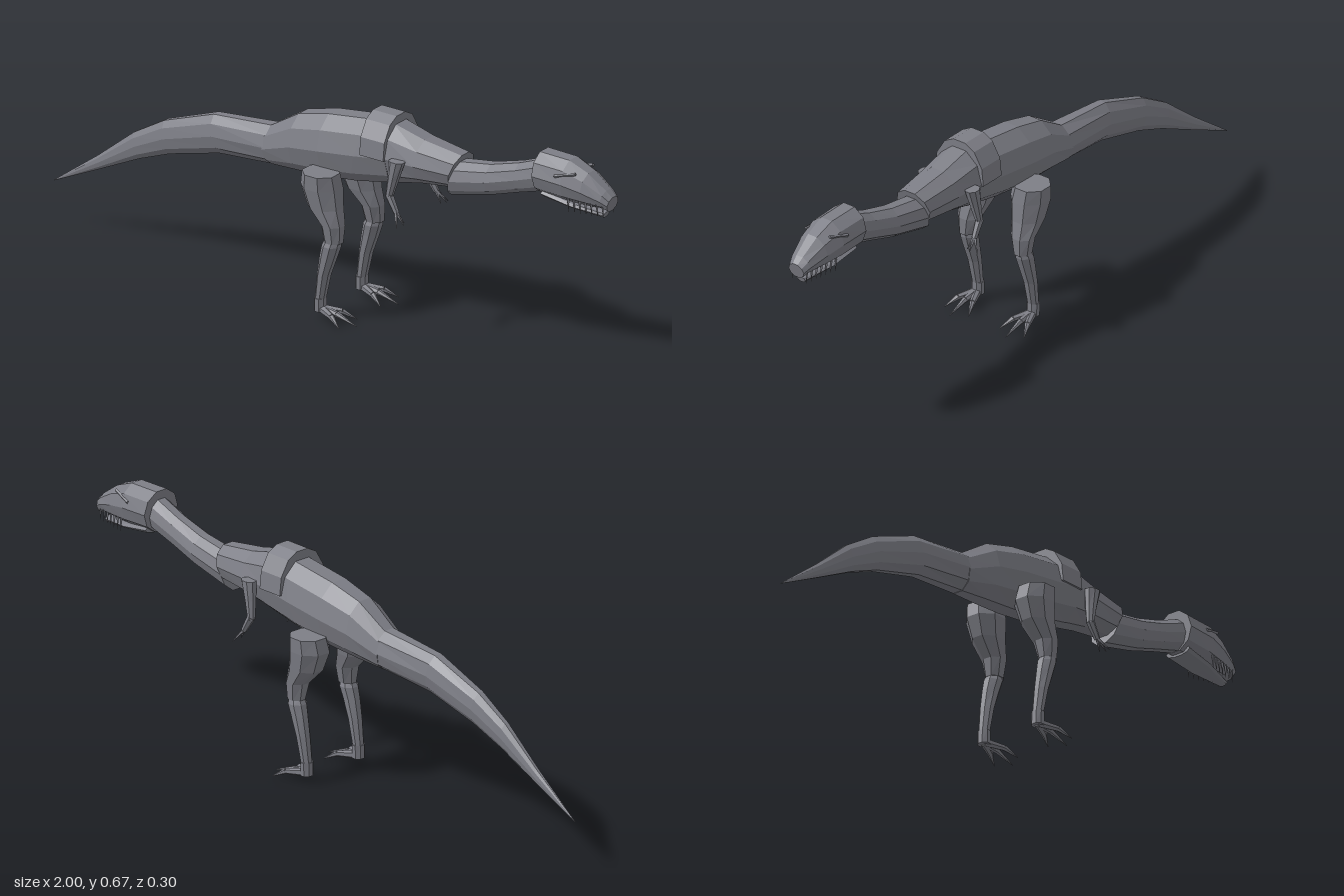
import * as THREE from 'three';

const hide = new THREE.MeshStandardMaterial({ color: 0x7d7e86, flatShading: true });
hide.name = 'grey hide';

const V = (x, y, z) => new THREE.Vector3(x, y, z);

function add(parent, name, geometry) {
  const mesh = new THREE.Mesh(geometry, hide);
  mesh.name = name;
  parent.add(mesh);
  return mesh;
}

// Skin a list of equal-length rings, closing both ends.
// Rings run counterclockwise as seen from the far end.
function loft(rings) {
  const pos = [];
  const tri = (a, b, c) => [a, b, c].forEach(p => pos.push(p.x, p.y, p.z));
  const n = rings[0].length;
  for (let i = 0; i < rings.length - 1; i++) {
    const A = rings[i], B = rings[i + 1];
    for (let j = 0; j < n; j++) {
      const k = (j + 1) % n;
      tri(A[j], A[k], B[k]);
      tri(A[j], B[k], B[j]);
    }
  }
  const first = rings[0], last = rings[rings.length - 1];
  for (let j = 1; j < n - 1; j++) {
    tri(first[0], first[j + 1], first[j]);
    tri(last[0], last[j], last[j + 1]);
  }
  const g = new THREE.BufferGeometry();
  g.setAttribute('position', new THREE.Float32BufferAttribute(pos, 3));
  g.computeVertexNormals();
  return g;
}

// Ten-sided section across x, flat on top and bottom: [xTop, yTop, xBottom, yBottom, halfWidth]
function spineLoft(sections) {
  return loft(sections.map(([xt, yt, xb, yb, w]) =>
    Array.from({ length: 10 }, (_, j) => {
      const a = (j * Math.PI) / 5;
      const t = (Math.sin(a) / Math.sin(0.4 * Math.PI) + 1) / 2;
      return V(xb + (xt - xb) * t, yb + (yt - yb) * t, -Math.cos(a) * w);
    })));
}

// Eight-sided limb going up: [x, y, z, radiusX, radiusZ]
function limbLoft(sections, side) {
  return loft(sections.map(([x, y, z, rx, rz]) =>
    Array.from({ length: 8 }, (_, j) => {
      const a = ((j + 0.5) * Math.PI) / 4;
      return V(x + Math.cos(a) * rx * 1.06, y, side * z - Math.sin(a) * rz * 1.06);
    })));
}

// Tapered rod between two points
function rod(a, b, ra, rb, sides = 6) {
  const d = b.clone().sub(a);
  const g = new THREE.CylinderGeometry(rb, ra, d.length(), sides);
  g.applyQuaternion(new THREE.Quaternion().setFromUnitVectors(V(0, 1, 0), d.normalize()));
  const m = a.clone().add(b).multiplyScalar(0.5);
  return g.translate(m.x, m.y, m.z);
}

export function createModel() {
  const model = new THREE.Group();
  model.name = 'dinosaur';

  // Tail and trunk
  add(model, 'tail', spineLoft([
    [-1, 0.142, -1, 0.14, 0.001],
    [-0.84, 0.26, -0.83, 0.22, 0.013],
    [-0.71, 0.365, -0.69, 0.287, 0.022],
    [-0.6, 0.43, -0.58, 0.33, 0.03],
    [-0.42, 0.495, -0.4, 0.378, 0.041],
    [-0.2, 0.515, -0.2, 0.395, 0.056],
  ]));
  add(model, 'trunk', spineLoft([
    [-0.23, 0.503, -0.21, 0.393, 0.055],
    [-0.11, 0.577, -0.11, 0.4, 0.075],
    [0, 0.605, 0, 0.408, 0.085],
    [0.16, 0.627, 0.1, 0.42, 0.085],
    [0.24, 0.632, 0.24, 0.448, 0.083],
  ]));
  add(model, 'chest', spineLoft([
    [0.23, 0.633, 0.23, 0.447, 0.083],
    [0.34, 0.605, 0.33, 0.468, 0.074],
    [0.47, 0.587, 0.435, 0.48, 0.061],
  ]));

  // Raised band over the shoulders
  const half = [[0.089, 0.535], [0.083, 0.59], [0.055, 0.637], [0.022, 0.655]];
  const arc = [...half.map(([z, y]) => [-z, y]), ...half.slice().reverse()];
  add(model, 'shoulderBand', loft([0.155, 0.24].map(x =>
    arc.map(([z, y]) => V(x, y, z)))));

  add(model, 'neck', spineLoft([
    [0.46, 0.565, 0.43, 0.455, 0.053],
    [0.57, 0.583, 0.57, 0.488, 0.048],
    [0.67, 0.612, 0.67, 0.52, 0.043],
    [0.78, 0.655, 0.77, 0.55, 0.045],
  ]));

  // Head
  add(model, 'skull', spineLoft([
    [0.75, 0.67, 0.755, 0.545, 0.066],
    [0.855, 0.668, 0.85, 0.54, 0.064],
    [0.92, 0.642, 0.91, 0.541, 0.053],
    [0.98, 0.6, 0.97, 0.543, 0.037],
    [1, 0.582, 0.99, 0.536, 0.028],
  ]));
  add(model, 'lowerJaw', spineLoft([
    [0.77, 0.565, 0.77, 0.537, 0.045],
    [0.87, 0.545, 0.87, 0.524, 0.04],
    [0.975, 0.53, 0.97, 0.512, 0.015],
  ]));

  for (const s of [1, -1]) {
    const sideName = s > 0 ? 'left' : 'right';

    // Brow ridge and teeth
    add(model, sideName + 'Brow',
      rod(V(0.83, 0.625, s * 0.059), V(0.895, 0.642, s * 0.044), 0.005, 0.005, 4));
    for (let i = 0; i < 7; i++) {
      const x = 0.87 + i * 0.018, z = s * (0.047 - i * 0.0035);
      add(model, sideName + 'Tooth',
        rod(V(x, 0.56, z), V(x + 0.003, 0.52, z), 0.005, 0.0005, 4));
    }

    // Hind leg
    const leg = new THREE.Group();
    leg.name = sideName + 'Leg';
    model.add(leg);
    add(leg, 'thigh', limbLoft([
      [0.072, 0.247, 0.101, 0.028, 0.025],
      [0.068, 0.3, 0.098, 0.034, 0.035],
      [0.038, 0.35, 0.094, 0.053, 0.046],
      [0.024, 0.41, 0.092, 0.061, 0.056],
      [0.025, 0.455, 0.098, 0.054, 0.052],
    ], s));
    add(leg, 'shin', limbLoft([
      [0.024, 0.045, 0.102, 0.015, 0.016],
      [0.04, 0.14, 0.103, 0.02, 0.021],
      [0.056, 0.2, 0.103, 0.026, 0.024],
      [0.066, 0.235, 0.102, 0.028, 0.027],
      [0.07, 0.25, 0.102, 0.024, 0.022],
    ], s));
    add(leg, 'ankle', limbLoft([
      [0.026, 0.022, 0.102, 0.018, 0.019],
      [0.026, 0.063, 0.102, 0.017, 0.02],
    ], s));
    for (const [x, z] of [[0.125, 0.147], [0.155, 0.103], [0.125, 0.057]]) {
      const knuckle = V(0.085, 0.024, s * (0.102 + (z - 0.102) * 0.6));
      add(leg, 'toe', rod(V(0.025, 0.03, s * 0.102), knuckle, 0.013, 0.009));
      add(leg, 'toeClaw', rod(knuckle, V(x, 0.002, s * z), 0.009, 0.001));
    }

    // Arm
    const arm = new THREE.Group();
    arm.name = sideName + 'Arm';
    model.add(arm);
    add(arm, 'upperArm', limbLoft([
      [0.267, 0.434, 0.096, 0.011, 0.011],
      [0.277, 0.49, 0.09, 0.017, 0.016],
      [0.288, 0.548, 0.087, 0.025, 0.019],
    ], s));
    add(arm, 'forearm',
      rod(V(0.266, 0.442, s * 0.096), V(0.295, 0.392, s * 0.099), 0.013, 0.009));
    for (const [x, y, z] of [[0.316, 0.358, 0.127], [0.326, 0.362, 0.106], [0.316, 0.362, 0.09]]) {
      add(arm, 'finger', rod(V(0.293, 0.396, s * 0.099), V(x, y, s * z), 0.006, 0.001, 5));
    }
  }
  return model;
}
